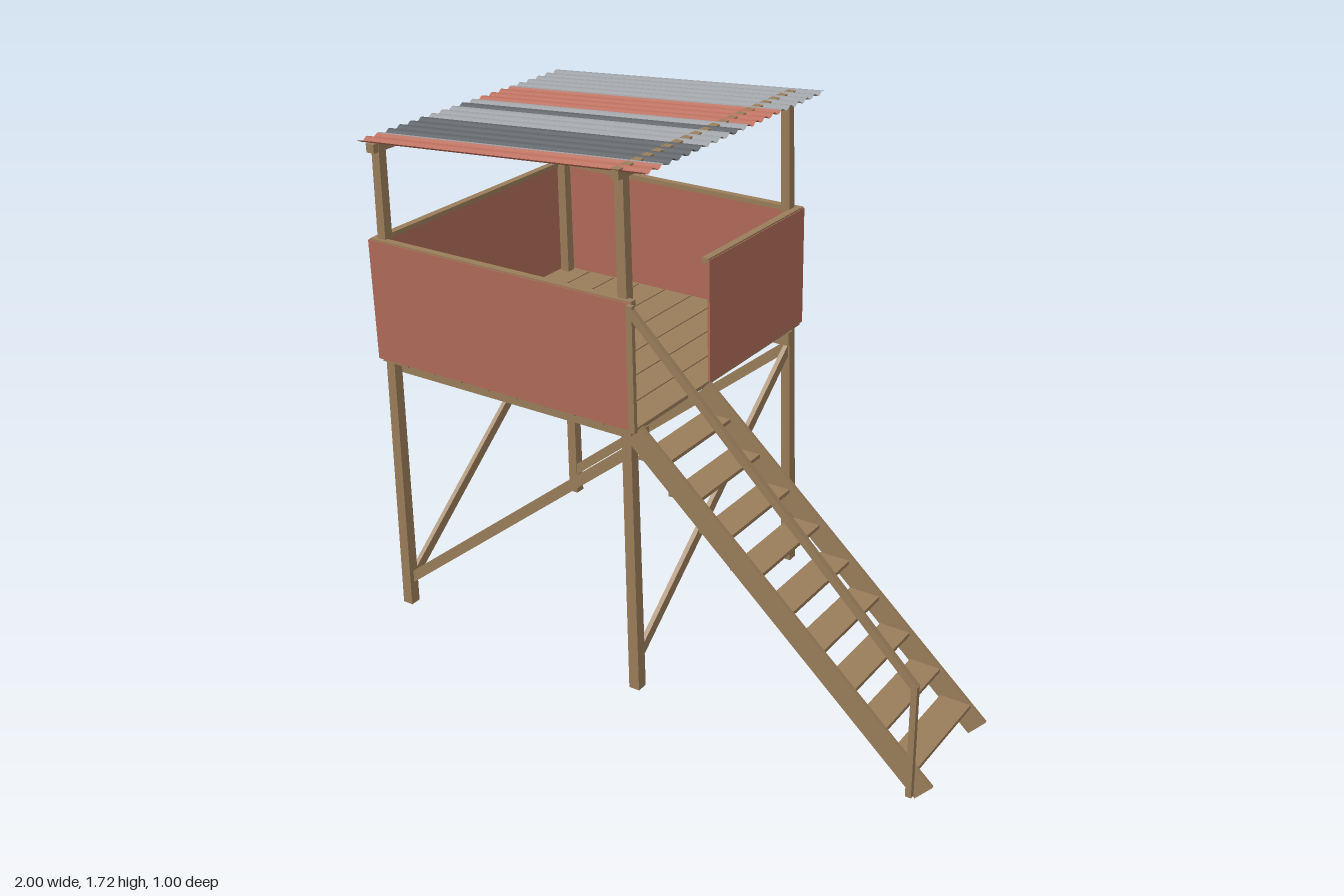
import * as THREE from 'three';

export function createModel() {
  const root = new THREE.Group();
  root.name = 'watchtower';
  const mat = (name, color, side = THREE.FrontSide) => {
    const m = new THREE.MeshStandardMaterial({ color, side });
    m.name = name;
    return m;
  };
  const wood = mat('wood', 0x9a7d5a);
  const red = mat('wallRed', 0xb06a59);
  const sheetRed = mat('sheetRed', 0xb86c5a, THREE.DoubleSide);
  const sheetLight = mat('sheetLightGrey', 0x9b9ea2, THREE.DoubleSide);
  const sheetDark = mat('sheetDarkGrey', 0x5c6064, THREE.DoubleSide);

  const add = (name, geo, material) => {
    const m = new THREE.Mesh(geo, material);
    m.name = name;
    root.add(m);
    return m;
  };
  // Box given by its min and max on each axis
  const box = (name, x0, x1, y0, y1, z0, z1, material = wood) => {
    const g = new THREE.BoxGeometry(x1 - x0, y1 - y0, z1 - z0);
    g.translate((x0 + x1) / 2, (y0 + y1) / 2, (z0 + z1) / 2);
    return add(name, g, material);
  };
  // Board running between two points; width lies in the vertical plane of the run
  const board = (name, a, b, width, thick) => {
    const A = new THREE.Vector3(...a), B = new THREE.Vector3(...b);
    const dir = B.clone().sub(A);
    const len = dir.length();
    dir.normalize();
    const side = new THREE.Vector3(dir.z, 0, -dir.x).normalize();
    const up = new THREE.Vector3().crossVectors(side, dir).negate();
    const m = add(name, new THREE.BoxGeometry(len, width, thick), wood);
    m.quaternion.setFromRotationMatrix(new THREE.Matrix4().makeBasis(dir, up, side.clone().negate().cross(up).lengthSq() ? new THREE.Vector3().crossVectors(dir, up) : side));
    m.position.copy(A).add(B).multiplyScalar(0.5);
    return m;
  };

  // Leaning, slightly tapered corner posts
  const post = (xb, xt, zb, zt, h) => {
    const g = new THREE.BoxGeometry(1, h, 1);
    g.translate(0, h / 2, 0);
    const p = g.attributes.position;
    for (let i = 0; i < p.count; i++) {
      const t = p.getY(i) / h;
      const w = 0.037 - 0.007 * t;
      p.setX(i, p.getX(i) * w + xb + (xt - xb) * t);
      p.setZ(i, p.getZ(i) * w + zb + (zt - zb) * t);
    }
    g.computeVertexNormals();
    add('cornerPost', g, wood);
  };
  for (const [zb, zt] of [[0.46, 0.445], [-0.477, -0.457]]) {
    post(-0.975, -0.955, zb, zt, 1.62);
    post(-0.035, -0.055, zb, zt, 1.69);
  }

  // Diagonal braces on all four sides
  for (const z of [0.452, -0.468]) board('longBrace', [-0.97, 0.09, z], [-0.045, 0.825, z], 0.034, 0.016);
  for (const x of [-0.968, -0.042]) board('sideBrace', [x, 0.09, 0.455], [x, 0.825, -0.465], 0.034, 0.016);

  // Floor beams and planks
  for (const z of [0.415, -0.425]) box('floorBeam', -0.99, -0.01, 0.85, 0.898, z - 0.013, z + 0.013);
  const planks = 9, pitch = 0.98 / planks;
  for (let i = 0; i < planks; i++) {
    const x = -0.99 + i * pitch;
    box('floorPlank', x, x + pitch - 0.005, 0.898, 0.91, -0.492, 0.472);
  }

  // Wall panels, leaving a doorway at the stairs
  box('frontWall', -1, -0.01, 0.908, 1.308, 0.472, 0.48, red);
  box('backWall', -1, -0.01, 0.908, 1.308, -0.5, -0.492, red);
  box('leftWall', -1, -0.992, 0.908, 1.308, -0.492, 0.472, red);
  box('rightWall', -0.018, -0.01, 0.908, 1.308, -0.492, 0.07, red);

  // Rails along the wall tops
  box('frontTopRail', -0.995, -0.012, 1.297, 1.313, 0.452, 0.477);
  box('backTopRail', -0.995, -0.012, 1.297, 1.313, -0.497, -0.472);
  box('leftTopRail', -0.997, -0.972, 1.297, 1.313, -0.472, 0.452);
  box('rightTopRail', -0.038, -0.013, 1.297, 1.313, -0.472, 0.07);

  // Beams carrying the roof
  box('lowRoofBeam', -0.972, -0.942, 1.592, 1.62, -0.49, 0.48);
  box('highRoofBeam', -0.068, -0.04, 1.665, 1.696, -0.49, 0.48);

  // Corrugated roof, one sheet per colour strip
  const sheet = (z0, z1, material) => {
    const n = Math.max(4, Math.round((z1 - z0) / 0.00615));
    const g = new THREE.PlaneGeometry(1, 1, 1, n);
    const p = g.attributes.position;
    for (let i = 0; i < p.count; i++) {
      const u = p.getX(i) + 0.5;
      const z = z0 + (z1 - z0) * (0.5 - p.getY(i));
      const y = 1.624 + 0.077 * u + 0.006 * Math.cos((z * Math.PI * 2) / 0.0493);
      p.setXYZ(i, -1 + 1.05 * u, y, z);
    }
    g.computeVertexNormals();
    add('roofSheet', g, material);
  };
  sheet(-0.503, -0.24, sheetLight);
  sheet(-0.24, -0.05, sheetRed);
  sheet(-0.05, 0.0, sheetLight);
  sheet(0.0, 0.045, sheetDark);
  sheet(0.045, 0.19, sheetLight);
  sheet(0.19, 0.37, sheetDark);
  sheet(0.37, 0.4, sheetLight);
  sheet(0.4, 0.485, sheetRed);

  // Stair stringers and treads
  for (const z of [0.473, 0.11]) board('stairStringer', [-0.01, 0.902, z], [0.97, 0.018, z], 0.077, 0.012);
  for (let i = 0; i < 9; i++) {
    const x = -0.007 + i * 0.1065, y = 0.82 - i * 0.0917;
    box('stairTread', x, x + 0.1, y - 0.006, y + 0.006, 0.116, 0.467);
  }

  // Handrail with its two posts
  box('upperRailPost', -0.018, 0.003, 0.91, 1.308, 0.48, 0.495);
  box('lowerRailPost', 0.922, 0.941, 0, 0.382, 0.48, 0.497);
  board('handrail', [-0.005, 1.29, 0.488], [0.935, 0.37, 0.488], 0.024, 0.016);

  return root;
}
